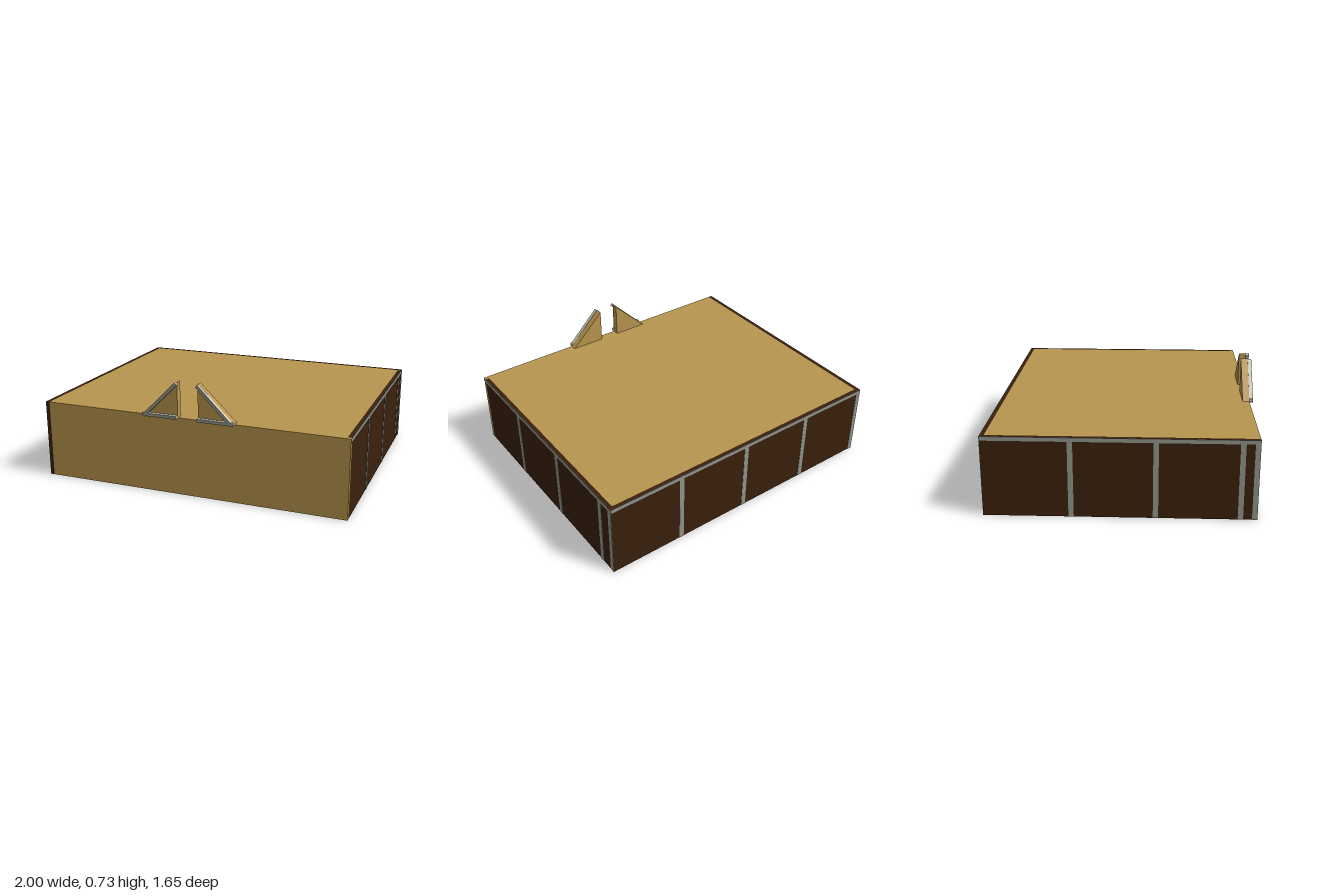
import * as THREE from 'three';

export function createModel() {
  const model = new THREE.Group();
  model.name = 'walledPlatform';

  const mat = (name, color) => {
    const m = new THREE.MeshStandardMaterial({ color });
    m.name = name;
    return m;
  };
  const wood = mat('tan wood', 0xb8954e);
  const dark = mat('dark brown panel', 0x3a200d);
  const metal = mat('grey trim', 0x92958c);
  const cream = mat('pale edge', 0xd0cbbd);

  // Box given by its minimum and maximum corners
  function box(name, material, a, b, parent = model) {
    const mesh = new THREE.Mesh(
      new THREE.BoxGeometry(b[0] - a[0], b[1] - a[1], b[2] - a[2]), material);
    mesh.position.set((a[0] + b[0]) / 2, (a[1] + b[1]) / 2, (a[2] + b[2]) / 2);
    mesh.name = name;
    parent.add(mesh);
    return mesh;
  }

  const H = 0.5, T = 0.025, FRONT = 0.8, BACK = -0.825, P = 0.002;

  // Open-bottomed box: deck and four walls that overlap in turn at the corners
  box('deck', wood, [-1 + T, H - T, BACK + T], [1 - T, H, FRONT - T]);
  box('frontWall', wood, [-1 + T, 0, FRONT - T], [1, H, FRONT]);
  box('leftWall', dark, [1 - T, 0, BACK + T], [1, H, FRONT - T]);
  box('rightWall', dark, [-1, 0, BACK + T], [-1 + T, H, FRONT]);
  box('backWall', dark, [-1, 0, BACK], [1, H, BACK + T]);

  // Thin trim on the side walls: top rail and upright battens
  const W = 0.016;
  for (const [side, name, centres] of [
    [1, 'left', [0.3, -0.2, -0.7, BACK + W]],
    [-1, 'right', [-0.3, 0.2, 0.7, FRONT - W]],
  ]) {
    const x0 = side > 0 ? 1 : -1 - P;
    box(name + 'TopRail', metal, [x0, H - T, BACK], [x0 + P, H, FRONT]);
    for (const z of centres) {
      box(name + 'Batten', metal, [x0, 0, z - W], [x0 + P, H - T, z + W]);
    }
  }

  // The same trim on the back wall
  box('backTopRail', metal, [-1, H - T, BACK - P], [1, H, BACK]);
  for (const x of [0.5, 0, -0.5, -1 + W]) {
    box('backBatten', metal, [x - W, 0, BACK - P], [x + W, H - T, BACK]);
  }

  // Pair of triangular brackets standing on the front edge
  for (const side of [-1, 1]) {
    const bracket = new THREE.Group();
    bracket.name = side > 0 ? 'leftBracket' : 'rightBracket';

    // Wooden wedge
    const corners = [[0.3, H], [0.067, H], [0.067, 0.725]]
      .map(([x, y]) => new THREE.Vector2(side * x, y));
    const wedge = new THREE.Mesh(
      new THREE.ExtrudeGeometry(new THREE.Shape(corners), { depth: 0.045, bevelEnabled: false }), wood);
    wedge.position.z = 0.757;
    wedge.name = 'wedge';
    bracket.add(wedge);

    // Sloping and level edging strips with grey faces
    const strips = [
      ['slopeStrip', 0.178, 0.607, 0.315, -side * Math.PI / 4],
      ['baseStrip', 0.182, 0.505, 0.23, 0],
    ];
    for (const [name, x, y, length, angle] of strips) {
      const strip = new THREE.Group();
      strip.name = name;
      strip.position.set(side * x, y, 0);
      strip.rotation.z = angle;
      box('stripBody', cream, [-length / 2, -0.01, 0.801], [length / 2, 0.01, 0.823], strip);
      box('stripFace', metal, [-length / 2, -0.01, 0.823], [length / 2, 0.01, 0.825], strip);
      bracket.add(strip);
    }
    model.add(bracket);
  }

  return model;
}
